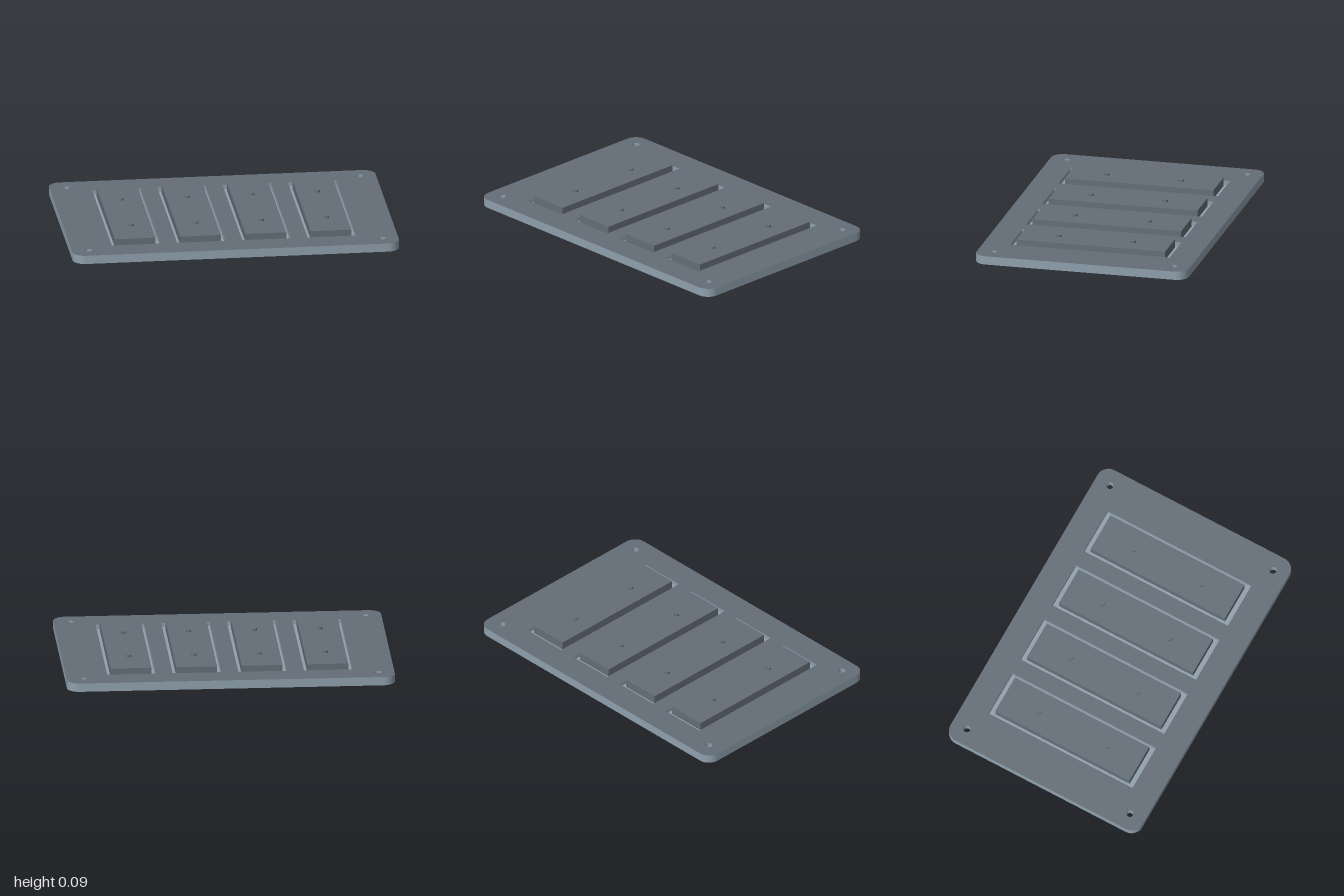
import * as THREE from 'three';
import { toCreasedNormals } from 'three/addons/utils/BufferGeometryUtils.js';

const WIDTH = 2, DEPTH = 1.333, CORNER = 0.075;
const FLOOR = 0.027, PLATE_TOP = 0.053, INSERT_TOP = 0.08, PIN_TOP = 0.093;
const COLUMNS = [-0.6, -0.2, 0.2, 0.6];

const lightSlate = new THREE.MeshStandardMaterial({ color: 0x8fa0ad });
const darkSlate = new THREE.MeshStandardMaterial({ color: 0x646e77 });

function addMesh(parent, name, geometry, material, x = 0, y = 0, z = 0) {
  const mesh = new THREE.Mesh(geometry, material);
  mesh.name = name;
  mesh.position.set(x, y, z);
  parent.add(mesh);
}

// Rounded plate outline with a mounting hole near each corner
function plateShape() {
  const w = WIDTH / 2, d = DEPTH / 2, r = CORNER;
  const shape = new THREE.Shape();
  shape.absarc(w - r, d - r, r, 0, Math.PI / 2);
  shape.absarc(-w + r, d - r, r, Math.PI / 2, Math.PI);
  shape.absarc(-w + r, -d + r, r, Math.PI, Math.PI * 1.5);
  shape.absarc(w - r, -d + r, r, Math.PI * 1.5, Math.PI * 2);
  shape.closePath();
  for (const sx of [-1, 1]) for (const sz of [-1, 1]) {
    shape.holes.push(new THREE.Path().absarc(sx * 0.9, sz * 0.567, 0.022, 0, Math.PI * 2, true));
  }
  return shape;
}

// Rectangular pocket cut-out
function pocketPath(x) {
  const w = 0.148, d = 0.5;
  return new THREE.Path([
    new THREE.Vector2(x - w, -d), new THREE.Vector2(x - w, d),
    new THREE.Vector2(x + w, d), new THREE.Vector2(x + w, -d),
    new THREE.Vector2(x - w, -d),
  ]);
}

function layer(shape, height) {
  const geometry = new THREE.ExtrudeGeometry(shape, { depth: height, bevelEnabled: false, curveSegments: 12 });
  geometry.rotateX(-Math.PI / 2);
  return toCreasedNormals(geometry, 0.6);
}

export function createModel() {
  const model = new THREE.Group();
  model.name = 'basePlateWithInserts';

  // Plate: light lower layer, upper layer cut by the pockets with a dark top face
  const plate = new THREE.Group();
  plate.name = 'plate';
  model.add(plate);
  addMesh(plate, 'plateFloor', layer(plateShape(), FLOOR), lightSlate);
  const upper = plateShape();
  COLUMNS.forEach((x) => upper.holes.push(pocketPath(x)));
  addMesh(plate, 'plateRim', layer(upper, PLATE_TOP - FLOOR), [darkSlate, lightSlate], 0, FLOOR);

  // Raised dark blocks standing in the pockets, each with two short pins
  const blockHeight = INSERT_TOP - FLOOR;
  const pinHeight = PIN_TOP - INSERT_TOP;
  const blockGeometry = new THREE.BoxGeometry(0.25, blockHeight, 0.933);
  const pinGeometry = new THREE.CylinderGeometry(0.0165, 0.0165, pinHeight, 24);
  for (const x of COLUMNS) {
    const insert = new THREE.Group();
    insert.name = 'insert';
    insert.position.x = x;
    model.add(insert);
    addMesh(insert, 'insertBlock', blockGeometry, darkSlate, 0, FLOOR + blockHeight / 2);
    for (const z of [-0.234, 0.234]) {
      addMesh(insert, 'pin', pinGeometry, darkSlate, 0, INSERT_TOP + pinHeight / 2, z);
    }
  }
  return model;
}
